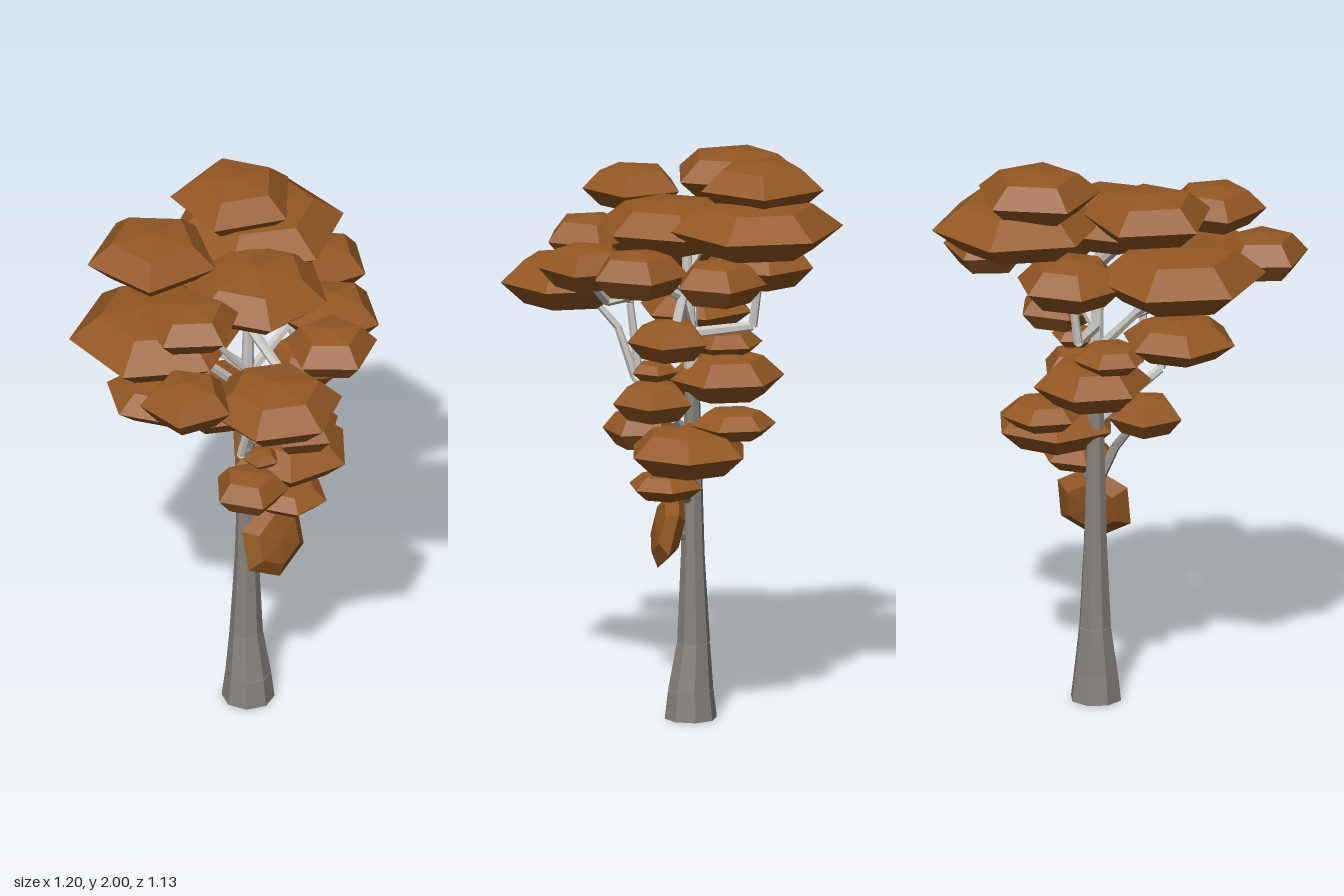
import * as THREE from 'three';

const foliageMat = new THREE.MeshStandardMaterial({ name: 'autumnBrown', color: 0x945823, flatShading: true });
const barkMat = new THREE.MeshStandardMaterial({ name: 'darkBark', color: 0x86827c, flatShading: true });
const paleMat = new THREE.MeshStandardMaterial({ name: 'paleBark', color: 0xcac9c4, flatShading: true });

// Faceted leaf pad: a flattened polygon with a wide waist and shallow caps
function leafPad(name, radius, height, sides, phaseDegrees) {
  const h = height / 2;
  const profile = [[0, -h], [0.65, -h * 0.8], [1, 0], [0.65, h * 0.8], [0, h]]
    .map(([r, y]) => new THREE.Vector2(r * radius, y));
  const phi = Math.PI / 2 - THREE.MathUtils.degToRad(phaseDegrees);
  const mesh = new THREE.Mesh(new THREE.LatheGeometry(profile, sides, phi), foliageMat);
  mesh.name = name;
  return mesh;
}

// A tier of pads, each [x, y, z, radius, sides, phase]; thickness grows with radius
function padTier(name, base, slope, pads) {
  const tier = new THREE.Group();
  tier.name = name;
  for (const [x, y, z, radius, sides, phase] of pads) {
    const pad = leafPad('leafPad', radius, base + slope * radius, sides, phase);
    pad.position.set(x, y, z);
    tier.add(pad);
  }
  return tier;
}

// Tapered limb along a few points, each [x, y, z, radius]
function limb(name, points, sides, material) {
  const group = new THREE.Group();
  group.name = name;
  for (let i = 0; i < points.length - 1; i++) {
    const a = new THREE.Vector3(...points[i]);
    const b = new THREE.Vector3(...points[i + 1]);
    const dir = b.clone().sub(a);
    const geo = new THREE.CylinderGeometry(points[i + 1][3], points[i][3], dir.length(), sides);
    const mesh = new THREE.Mesh(geo, material);
    mesh.name = name + 'Segment';
    mesh.position.copy(a).add(b).multiplyScalar(0.5);
    mesh.quaternion.setFromUnitVectors(new THREE.Vector3(0, 1, 0), dir.normalize());
    group.add(mesh);
  }
  return group;
}

// Branch that thins by a fixed step at each joint
function branch(name, material, ...joints) {
  return limb(name, joints.map((p, i) => [...p, 0.02 - 0.0035 * i]), 6, material);
}

export function createModel() {
  const tree = new THREE.Group();
  tree.name = 'tree';

  // Trunk: flared foot, pale upper stem
  tree.add(limb('trunk', [
    [0.06, 0, -0.065, 0.092], [0.06, 0.1, -0.065, 0.08], [0.06, 0.27, -0.075, 0.058],
    [0.06, 0.58, -0.072, 0.042], [0.06, 1.17, -0.07, 0.027],
  ], 8, barkMat));
  tree.add(limb('upperTrunk', [[0.06, 1.17, -0.07, 0.027], [0.05, 1.72, -0.05, 0.016]], 8, paleMat));

  // Branches, from the lowest upwards
  tree.add(
    branch('lowerBranch', barkMat, [0.06, 0.64, -0.07], [0.085, 0.67, 0]),
    branch('lowerBranch', barkMat, [0.06, 0.77, -0.07], [0.15, 0.85, 0.03]),
    branch('lowerBranch', barkMat, [0.06, 0.78, -0.07], [0.02, 0.9, 0.02], [-0.05, 1.0, 0.1]),
    branch('middleBranch', paleMat, [0.06, 1.0, -0.07], [0.2, 1.1, 0.02], [0.18, 1.16, 0.08]),
    branch('frontBranch', paleMat, [0.06, 1.02, -0.07], [-0.12, 1.18, 0.1], [-0.13, 1.36, 0.16], [-0.15, 1.5, 0.28]),
    branch('frontBranch', paleMat, [0.06, 1.18, -0.07], [-0.05, 1.21, 0.1], [-0.05, 1.46, 0.13], [-0.3, 1.78, 0.07]),
    branch('leftBranch', paleMat, [0.06, 1.36, -0.06], [0.2, 1.54, 0], [0.27, 1.62, 0.14]),
    branch('leftBranch', paleMat, [0.24, 1.38, 0.03], [0.2, 1.56, -0.02], [0.43, 1.62, -0.1]),
    branch('backBranch', paleMat, [0.06, 1.37, -0.06], [0.05, 1.385, -0.285], [0.07, 1.6, -0.31]),
    branch('rightBranch', paleMat, [0.06, 1.28, -0.07], [-0.1, 1.45, -0.1], [-0.27, 1.6, -0.16]),
    branch('rightBranch', paleMat, [-0.1, 1.45, -0.1], [-0.3, 1.52, 0.08], [-0.45, 1.6, 0.19]),
    branch('topBranch', paleMat, [0.06, 1.55, -0.05], [0, 1.48, 0.22], [0.1, 1.58, 0.3]),
    branch('topBranch', paleMat, [0.06, 1.5, -0.06], [0.15, 1.64, -0.16], [0.26, 1.76, -0.24]),
    branch('topBranch', paleMat, [0.05, 1.6, -0.06], [-0.18, 1.84, -0.24]),
  );

  // Top of the crown
  tree.add(padTier('topPads', 0.09, 0.37, [
    [0.20, 1.915, -0.29, 0.225, 5, 7],
    [0.28, 1.785, -0.26, 0.305, 6, 90],
    [0.035, 1.75, 0, 0.265, 6, 0],
    [-0.205, 1.87, -0.265, 0.235, 5, -81],
    [-0.33, 1.81, 0.07, 0.18, 5, 92],
  ]));

  // Wide ring beneath the top
  tree.add(padTier('ringPads', 0.105, 0.37, [
    [-0.28, 1.63, -0.165, 0.305, 6, 154],
    [0.07, 1.61, -0.31, 0.195, 6, 0],
    [0.11, 1.63, 0.31, 0.168, 5, 97],
    [0.255, 1.63, 0.155, 0.178, 5, -6],
    [0.44, 1.63, -0.1, 0.165, 5, -4],
    [-0.46, 1.605, 0.2, 0.168, 5, 70],
    [-0.165, 1.525, 0.33, 0.237, 6, 89],
  ]));

  // Full pads lower down the trunk
  tree.add(padTier('lowerPads', 0.095, 0.37, [
    [0.235, 1.385, 0.04, 0.148, 5, 20],
    [0.03, 1.205, -0.19, 0.21, 6, 30],
    [0.17, 1.155, 0.085, 0.145, 5, 15],
    [-0.07, 1.005, 0.09, 0.135, 5, 40],
    [0.22, 0.985, -0.03, 0.22, 6, 10],
  ]));

  // Thin pads between them
  tree.add(padTier('thinPads', 0.02, 0.6, [
    [-0.27, 1.385, -0.14, 0.205, 6, 0],
    [-0.04, 1.31, -0.2, 0.135, 6, 30],
    [0.19, 1.27, 0.085, 0.085, 5, 0],
    [0.01, 1.085, 0.06, 0.065, 5, 0],
    [0.21, 1.075, -0.19, 0.15, 6, 30],
    [0.16, 0.853, 0.04, 0.135, 6, 0],
  ]));

  // Hanging pad turned to the front of the trunk
  const hanging = leafPad('hangingLeafPad', 0.148, 0.09, 6, 90);
  hanging.position.set(0.097, 0.69, 0.022);
  hanging.rotation.x = THREE.MathUtils.degToRad(76);
  tree.add(hanging);

  return tree;
}
